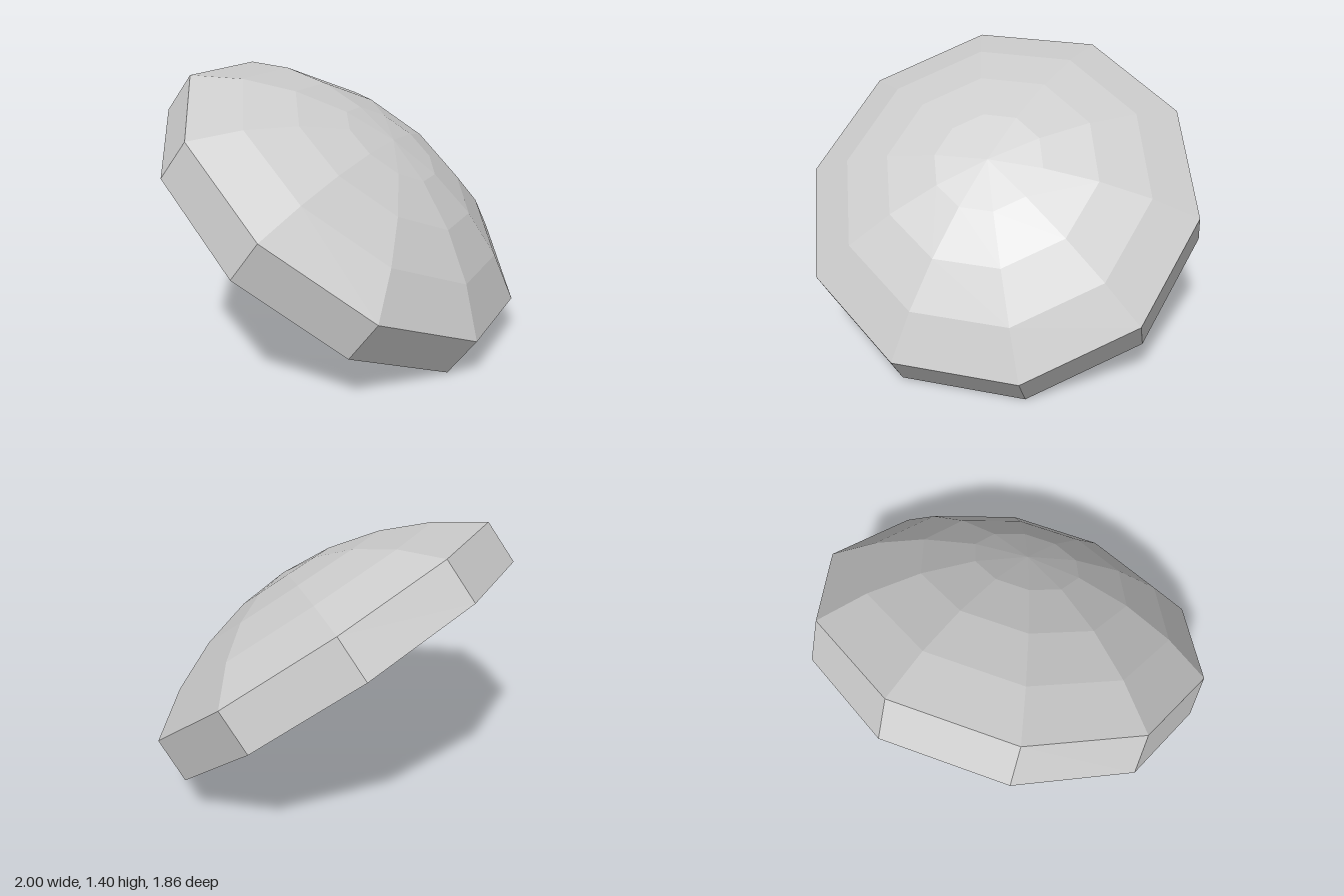
import * as THREE from 'three';

const SIDES = 10, RADIUS = 1.05, THICKNESS = 0.24, DOME_HEIGHT = 0.36, RINGS = 4;

// Faceted ten-sided body of revolution from [radius, height] pairs, bottom to top
function facetedLathe(name, profile, material) {
  const points = profile.map(([r, y]) => new THREE.Vector2(r, y));
  const geometry = new THREE.LatheGeometry(points, SIDES).toNonIndexed();
  geometry.computeVertexNormals();
  const mesh = new THREE.Mesh(geometry, material);
  mesh.name = name;
  return mesh;
}

export function createModel() {
  const stone = new THREE.MeshStandardMaterial({ color: 0xcccccc, flatShading: true });
  stone.name = 'light grey';

  // Flat underside and straight rim wall
  const base = facetedLathe('base', [[0, -THICKNESS], [RADIUS, -THICKNESS], [RADIUS, 0]], stone);

  // Shallow spherical cap on top of the rim
  const sphere = (RADIUS ** 2 + DOME_HEIGHT ** 2) / (2 * DOME_HEIGHT);
  const spread = Math.asin(RADIUS / sphere);
  const cap = [];
  for (let i = RINGS; i >= 0; i--) {
    const a = (spread * i) / RINGS;
    cap.push([sphere * Math.sin(a), DOME_HEIGHT - sphere * (1 - Math.cos(a))]);
  }
  const dome = facetedLathe('dome', cap, stone);

  // Tilt the disc: its axis leans forward and slightly to the left
  const disc = new THREE.Group();
  disc.name = 'tiltedDisc';
  disc.add(base, dome);
  const axis = new THREE.Vector3(0.237, 0.799, 0.554).normalize();
  const side = new THREE.Vector3().crossVectors(axis, new THREE.Vector3(0, -0.57, 0.822)).normalize();
  const front = new THREE.Vector3().crossVectors(side, axis);
  disc.quaternion.setFromRotationMatrix(new THREE.Matrix4().makeBasis(side, axis, front));
  disc.position.set(0.03, 0.795, 0.065);

  const model = new THREE.Group();
  model.name = 'tiltedDome';
  model.add(disc);
  return model;
}
